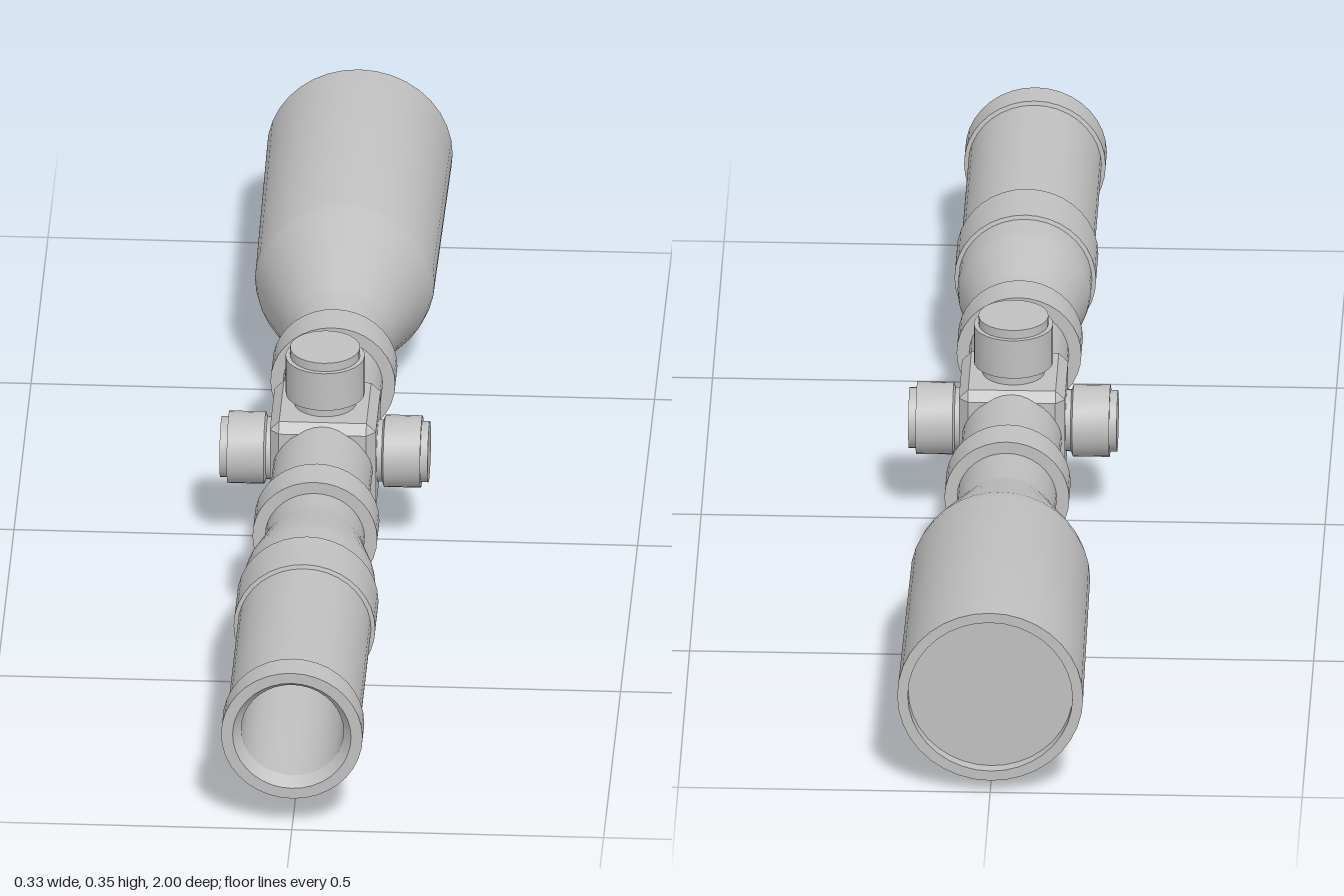
import * as THREE from 'three';
import { toCreasedNormals } from 'three/addons/utils/BufferGeometryUtils.js';
import { ConvexGeometry } from 'three/addons/geometries/ConvexGeometry.js';

const AXIS_Y = 0.17; // height of the optical axis
const TURRET_Z = 0.018;

export function createModel() {
  const model = new THREE.Group();
  model.name = 'rifleScope';
  const metal = new THREE.MeshStandardMaterial({ color: 0xc0c0c0 });
  metal.name = 'lightGreyMetal';

  const add = (name, geometry, x, y, z) => {
    const mesh = new THREE.Mesh(geometry, metal);
    mesh.name = name;
    mesh.position.set(x, y, z);
    model.add(mesh);
    return mesh;
  };

  // Turned part from [radius, height] pairs, smooth with sharp steps
  const turned = (profile, sides = 36) => toCreasedNormals(
    new THREE.LatheGeometry(profile.map(([r, h]) => new THREE.Vector2(r, h)), sides), 0.5);

  // Box with all edges chamfered
  const chamferBox = (hx, hy, hz, b) => {
    const points = [];
    for (const sx of [-1, 1]) for (const sy of [-1, 1]) for (const sz of [-1, 1]) {
      points.push(
        new THREE.Vector3(sx * hx, sy * (hy - b), sz * (hz - b)),
        new THREE.Vector3(sx * (hx - b), sy * hy, sz * (hz - b)),
        new THREE.Vector3(sx * (hx - b), sy * (hy - b), sz * hz));
    }
    return new ConvexGeometry(points);
  };

  // Main body: recessed objective lens, bell, tube, eyepiece and hollow bore
  add('scopeBody', turned([
    [0, -0.98], [0.132, -0.98], [0.132, -1], [0.149, -1],
    [0.144, -0.56], [0.139, -0.535], [0.084, -0.375], [0.08, -0.355],
    [0.08, 0.36], [0.084, 0.385], [0.104, 0.465], [0.107, 0.49],
    [0.107, 0.53], [0.1135, 0.532], [0.1135, 0.628], [0.107, 0.63],
    [0.107, 0.948], [0.1135, 0.95], [0.1135, 1], [0.095, 1],
    [0.082, 0.98], [0.078, 0.4], [0.078, 0.08],
  ]).rotateX(Math.PI / 2), 0, AXIS_Y, 0);

  // Central turret housing
  add('turretHousing', chamferBox(0.085, 0.085, 0.085, 0.015), 0, AXIS_Y, TURRET_Z);

  // Adjustment turrets: neck, drum and smaller cap
  const turret = (drum, cap, start, shoulder, end) => turned([
    [0.05, 0.07], [0.05, start], [drum, start + 0.003],
    [drum, shoulder], [cap, shoulder], [cap, end], [0, end],
  ], 28);
  add('topTurret', turret(0.0635, 0.056, 0.1, 0.17, 0.185), 0, AXIS_Y, TURRET_Z);
  for (const side of [-1, 1]) {
    const knob = add(side > 0 ? 'leftTurret' : 'rightTurret',
      turret(0.058, 0.049, 0.093, 0.155, 0.167), 0, AXIS_Y, TURRET_Z);
    knob.rotation.z = -side * Math.PI / 2;
  }

  // Mounting rings on posts
  for (const [place, z] of [['front', 0.289], ['rear', -0.24]]) {
    add(place + 'Ring', turned([
      [0.079, -0.032], [0.1, -0.032], [0.1, 0.032], [0.079, 0.032],
    ]).rotateX(Math.PI / 2), 0, AXIS_Y, z);
    add(place + 'Post', new THREE.BoxGeometry(0.09, 0.06, 0.062), 0, 0.055, z);
  }

  // Base rail
  add('baseRail', chamferBox(0.054, 0.014, 0.335, 0.003), 0, 0.014, 0.028);

  return model;
}
